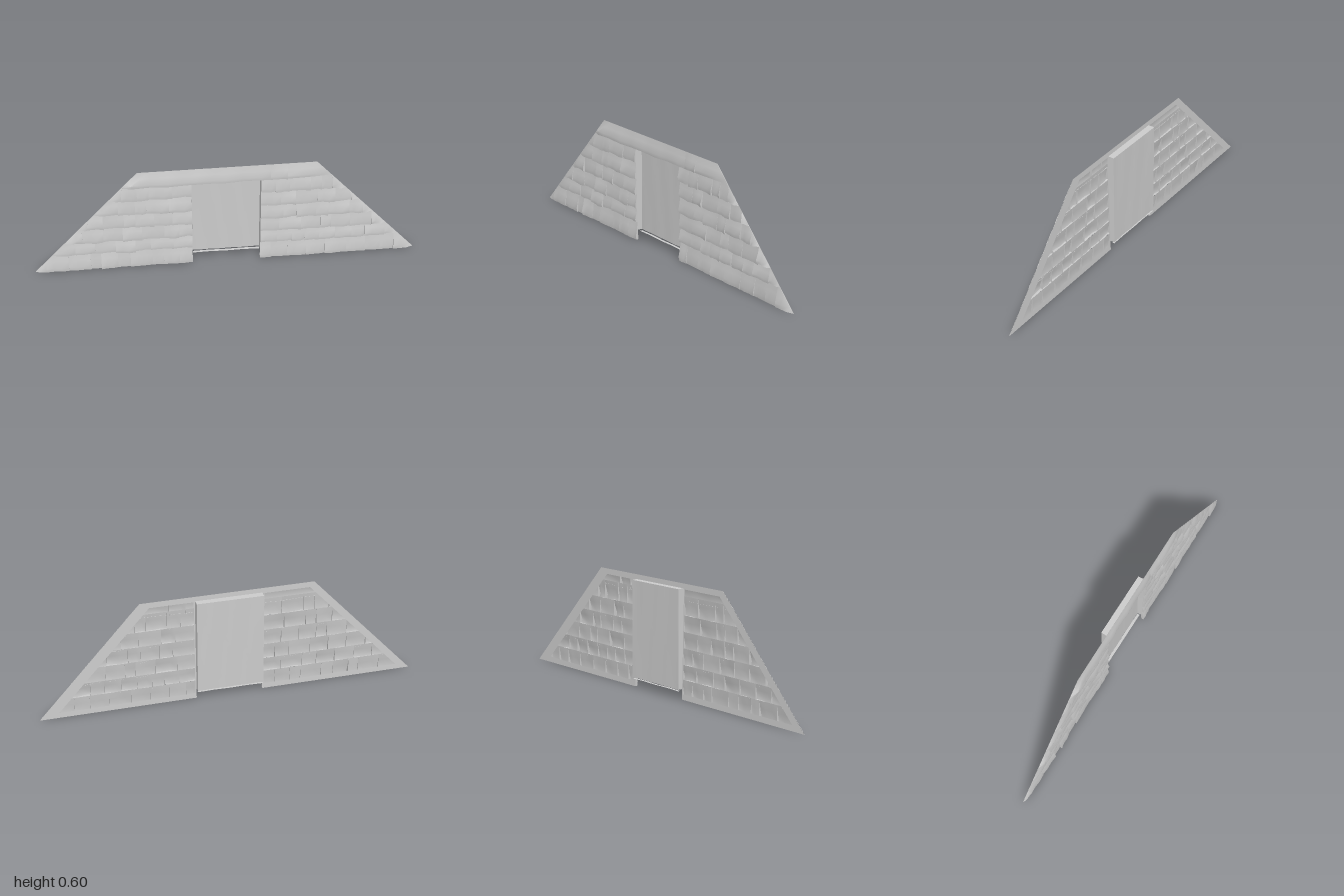
import * as THREE from 'three';
import { mergeGeometries, toCreasedNormals } from 'three/addons/utils/BufferGeometryUtils.js';

const TOP = 0.6, OPEN = 0.178;
const material = new THREE.MeshStandardMaterial({ color: 0xcccccc, side: THREE.DoubleSide });

let seed = 7;
const rand = (a, b) => {
  seed = (seed * 16807) % 2147483647;
  return a + (b - a) * (seed / 2147483647);
};

// half width of the trapezoid at height y, on side s
const edge = (s, y) => 1 - (s > 0 ? 0.9 : 0.917) * y;
// slightly twisted plane that carries the roof
const base = (x, y) => -0.003 - 0.007 * x + 0.02 * y;

// surface from a rule (column, row) -> [x, y, z]
function sheet(cols, rows, rule) {
  const g = new THREE.PlaneGeometry(1, 1, cols, rows);
  const p = g.attributes.position;
  for (let i = 0; i < p.count; i++) {
    const c = i % (cols + 1), r = rows - Math.floor(i / (cols + 1));
    p.setXYZ(i, ...rule(c, r));
  }
  g.computeVertexNormals();
  return g;
}

// curved shingle with a proud lower lip and tucked sides
function shingle(x0, x1, y0, y1, lift, cols = 5, wave = 0.003) {
  const vs = [0, 0, 0.22, 0.6, 1], profile = [0.1, 0.85, 1, 0.45, 0];
  const tilt = rand(-0.25, 0.25), drop = rand(-0.004, 0.004), phase = rand(0, 6);
  const g = sheet(cols, 4, (c, r) => {
    const u = Math.min(Math.max((c - 1) / (cols - 2), 0), 1);
    const sag = y0 > 0.01 ? (drop + wave * Math.sin(u * cols + phase)) * (1 - vs[r]) : 0;
    const y = y0 + (y1 - y0) * vs[r] + sag;
    let x = x0 + (x1 - x0) * u;
    const s = Math.sign(x) || 1, e = edge(s, y);
    x = s * Math.min(Math.abs(x), e);
    const taper = Math.min(1, (e - Math.abs(x)) / 0.03 + 0.1);
    const side = c === 0 || c === cols ? 0.1 : 1;
    const bend = 1 + tilt * (2 * u - 1) + 0.12 * Math.sin(u * cols * 1.7 + phase);
    return [x, y, base(x, y) + lift * profile[r] * taper * side * bend];
  });
  return toCreasedNormals(g, 0.7);
}

function add(parent, name, geometry) {
  const m = new THREE.Mesh(geometry, material);
  m.name = name;
  parent.add(m);
  return m;
}

// flat return border behind one half of the roof
function backRim(s) {
  const o = OPEN, w = s > 0 ? 0.075 : 0.05;
  const shape = new THREE.Shape([[s * o, 0], [s, 0], [s * edge(s, TOP), TOP], [s * o, TOP]]
    .map(a => new THREE.Vector2(...a)));
  const lo = 0.03, hi = TOP - 0.03;
  shape.holes.push(new THREE.Path([[s * (o + 0.006), lo], [s * (edge(s, lo) - w), lo],
    [s * (edge(s, hi) - w), hi], [s * (o + 0.006), hi]].map(a => new THREE.Vector2(...a))));
  const g = new THREE.ShapeGeometry(shape), p = g.attributes.position;
  for (let i = 0; i < p.count; i++) p.setZ(i, base(p.getX(i), p.getY(i)) - 0.001);
  g.computeVertexNormals();
  return g;
}

export function createModel() {
  seed = 7;
  const model = new THREE.Group();
  model.name = 'shingledRoofPanel';

  // shingle courses on both sides of the opening
  const levels = [0, 0.1, 0.177, 0.262, 0.347, 0.432, 0.53];
  for (const s of [1, -1]) {
    const half = new THREE.Group();
    half.name = s > 0 ? 'leftShingles' : 'rightShingles';
    for (let r = 0; r < 6; r++) {
      const y0 = levels[r], y1 = levels[r + 1] + 0.006, parts = [];
      let x = OPEN;
      const end = edge(s, y0);
      while (x < end - 0.001) {
        let next = x + rand(0.055, 0.12);
        if (end - next < 0.035) next = end;
        const [a, b] = s > 0 ? [x, next] : [-next, -x];
        parts.push(shingle(a, b, y0, y1, rand(0.009, 0.017)));
        x = next;
      }
      add(half, 'course' + (r + 1), mergeGeometries(parts));
    }
    model.add(half);
    add(model, s > 0 ? 'leftBackRim' : 'rightBackRim', backRim(s));
  }

  // ridge caps along the top, bridging the opening
  const cuts = [-0.53, 0.225, 0.31, 0.54];
  add(model, 'ridgeCaps', mergeGeometries([0, 1, 2].map(i =>
    shingle(cuts[i], cuts[i + 1], 0.517, TOP, 0.017, i ? 5 : 18, 0.002))));
  // back of the ridge over the opening
  add(model, 'ridgeBack', sheet(4, 1, (c, r) => {
    const x = -OPEN + (c / 4) * 2 * OPEN, y = 0.572 + r * 0.028;
    return [x, y, base(x, y) - 0.001];
  }));

  // recessed niche: back panel, side walls, head and sill
  const niche = new THREE.Group();
  niche.name = 'niche';
  const W = 0.175, B = 0.055, H = 0.575, back = -0.026;
  add(niche, 'nichePanel', sheet(10, 10, (c, r) => [
    -W + (c / 10) * 2 * W, B + (r / 10) * (H - B),
    back + (c % 10 ? 0.0012 * (1 + Math.sin(c * 1.9 + r * 0.4)) : 0)]));
  for (const s of [1, -1]) {
    add(niche, s > 0 ? 'leftNicheWall' : 'rightNicheWall', sheet(1, 8, (c, r) => {
      const y = B + (r / 8) * (H - B);
      return [s * (W + 0.003 * c), y, c ? base(s * W, y) + 0.002 : back];
    }));
  }
  add(niche, 'nicheHead', sheet(4, 1, (c, r) => {
    const x = -W + (c / 4) * 2 * W;
    return [x, H, r ? base(x, H) : back];
  }));
  add(niche, 'nicheSill', sheet(4, 1, (c, r) => [
    -W + (c / 4) * 2 * W, 0.047 + 0.002 * (c % 2), r ? -0.012 : back]));
  model.add(niche);
  return model;
}
